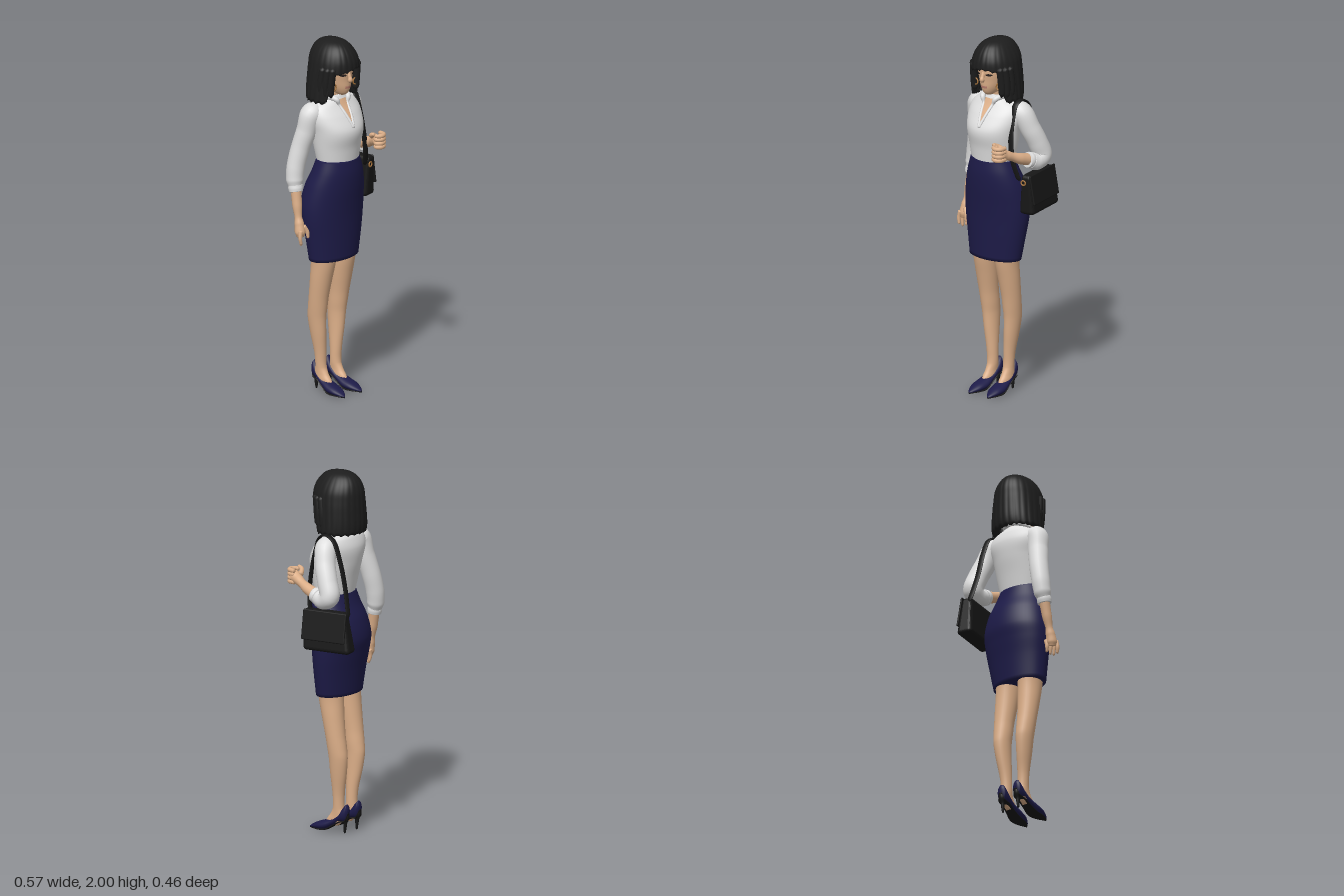
import * as THREE from 'three';
import { mergeVertices } from 'three/addons/utils/BufferGeometryUtils.js';
import { RoundedBoxGeometry } from 'three/addons/geometries/RoundedBoxGeometry.js';

const { lerp, smoothstep } = THREE.MathUtils;

// Smooth surface from a rule: fn(u, v) gives a point
function grid(nu, nv, fn) {
  const pos = [], idx = [];
  for (let j = 0; j <= nv; j++) for (let i = 0; i <= nu; i++) {
    pos.push(...fn(i / nu, j / nv));
    const a = j * (nu + 1) + i, b = a + nu + 1;
    if (i < nu && j < nv) idx.push(a, a + 1, b + 1, a, b + 1, b);
  }
  let g = new THREE.BufferGeometry();
  g.setAttribute('position', new THREE.Float32BufferAttribute(pos, 3));
  g.setIndex(idx);
  g = mergeVertices(g, 1e-4);
  g.computeVertexNormals();
  return g;
}

// Rows are [y, xMin, xMax, zBack, zFront]; smooth interpolation at height y
function rowAt(rows, y) {
  const n = rows.length - 1;
  let i = 0;
  while (i < n - 1 && y > rows[i + 1][0]) i++;
  const p = rows[i], q = rows[i + 1], h = q[0] - p[0];
  const t = Math.min(1, Math.max(0, (y - p[0]) / h));
  const slope = (k, c) => {
    const a = rows[Math.max(0, k - 1)], b = rows[Math.min(n, k + 1)];
    return (b[c] - a[c]) / (b[0] - a[0]) * h;
  };
  return [1, 2, 3, 4].map(c => {
    const t2 = t * t, t3 = t2 * t;
    return (2 * t3 - 3 * t2 + 1) * p[c] + (t3 - 2 * t2 + t) * slope(i, c)
      + (3 * t2 - 2 * t3) * q[c] + (t3 - t2) * slope(i + 1, c);
  });
}
function ringPoint(rows, y, a, k = 1) {
  const [x0, x1, z0, z1] = rowAt(rows, y);
  return [(x0 + x1) / 2 + k * (x1 - x0) / 2 * Math.sin(a), y, (z0 + z1) / 2 + k * (z1 - z0) / 2 * Math.cos(a)];
}
// Closed body through the rows
function loft(rows, seg = 40, per = 7) {
  const steps = (rows.length - 1) * per;
  return grid(seg, steps + 2, (u, v) => {
    const j = Math.round(v * (steps + 2)), s = Math.min(steps, Math.max(0, j - 1));
    const i = Math.min(rows.length - 2, Math.floor(s / per));
    const y = lerp(rows[i][0], rows[i + 1][0], s / per - i);
    return ringPoint(rows, y, u * Math.PI * 2, j === 0 || j === steps + 2 ? 0 : 1);
  });
}
function frontZ(rows, x, y) {
  const [x0, x1, z0, z1] = rowAt(rows, y);
  const s = (x - (x0 + x1) / 2) / ((x1 - x0) / 2);
  return (z0 + z1) / 2 + (z1 - z0) / 2 * Math.sqrt(Math.max(0, 1 - s * s));
}
// Thin painted patch lying on the front of a loft
const patch = (rows, y0, y1, xa, xb, off = 0.003) => grid(10, 16, (u, v) => {
  const y = lerp(y0, y1, v), x = lerp(xa(v), xb(v), u);
  return [x, y, frontZ(rows, x, y) + off];
});
// Limb along points [x, y, z, radius], optionally widened in x
function sweep(pts, wide = 1, seg = 16) {
  const curve = new THREE.CatmullRomCurve3(pts.map(p => new THREE.Vector3(p[0], p[1], p[2])));
  curve.getPointAt = curve.getPoint;
  curve.getTangentAt = curve.getTangent;
  const n = (pts.length - 1) * 8;
  const tube = new THREE.TubeGeometry(curve, n, 1, seg).attributes.position;
  return grid(seg, n, (u, v) => {
    const j = Math.round(v * n), c = curve.getPoint(v), f = v * (pts.length - 1);
    const i = Math.min(pts.length - 2, Math.floor(f));
    const r = j === 0 || j === n ? 0 : lerp(pts[i][3], pts[i + 1][3], smoothstep(f - i, 0, 1));
    const d = new THREE.Vector3().fromBufferAttribute(tube, j * (seg + 1) + seg - Math.round(u * seg)).sub(c).multiplyScalar(r);
    return [c.x + d.x * wide, c.y + d.y, c.z + d.z];
  });
}

export function createModel() {
  const model = new THREE.Group();
  const mat = (name, color, side = THREE.FrontSide) => Object.assign(new THREE.MeshStandardMaterial({ color, side }), { name });
  const M = {
    skin: mat('skin', 0xdbae88, THREE.DoubleSide), shirt: mat('white shirt', 0xdedede, THREE.DoubleSide),
    navy: mat('navy', 0x1d1b48, THREE.DoubleSide), hair: mat('dark hair', 0x1d1d1d, THREE.DoubleSide),
    black: mat('black leather', 0x171717, THREE.DoubleSide), gold: mat('bronze', 0xa8743c),
    lips: mat('lips', 0xbd8070), eyes: mat('eyes', 0x2a2220),
  };
  const add = (name, geo, m, parent = model) => {
    const mesh = new THREE.Mesh(geo, m);
    mesh.name = name;
    parent.add(mesh);
    return mesh;
  };

  // Skirt and blouse
  add('skirt', loft([[0.765, -.168, .157, -.085, .108], [0.9, -.186, .181, -.105, .115], [1.0, -.2, .195, -.125, .121],
    [1.08, -.201, .198, -.138, .129], [1.18, -.182, .184, -.12, .141], [1.26, -.156, .158, -.085, .145], [1.335, -.13, .128, -.06, .138]], 56), M.navy);
  const torso = [[1.31, -.125, .125, -.06, .136], [1.4, -.14, .14, -.08, .147], [1.5, -.154, .154, -.105, .164],
    [1.58, -.168, .168, -.115, .125], [1.635, -.15, .15, -.1, .085], [1.665, -.095, .095, -.08, .068], [1.685, -.06, .06, -.062, .058]];
  add('blouse', loft(torso, 56), M.shirt);
  add('neckOpening', patch(torso, 1.53, 1.668, v => -.034 * v, v => .034 * v), M.skin);
  add('neck', sweep([[0, 1.6, -.01, .05], [0, 1.68, -.005, .047], [0, 1.76, .01, .047]]), M.skin);
  for (const s of [1, -1]) {
    const edge = [1.52, 1.56, 1.6, 1.64].map(y => [s * (y - 1.52) * .26, y, frontZ(torso, s * (y - 1.52) * .26, y), .008]);
    add('collar', sweep([...edge, [s * .045, 1.672, .07, .015], [s * .068, 1.685, .01, .014], [s * .045, 1.695, -.052, .014], [0, 1.7, -.066, .014]]), M.shirt);
  }

  // Legs and court shoes, mirrored
  const legRows = [[0.04, .04, .08, -.03, .06], [0.07, .034, .088, -.06, .045], [0.1, .034, .088, -.072, .022], [0.14, .031, .089, -.062, .003],
    [0.22, .032, .095, -.066, .003], [0.33, .035, .112, -.086, .01], [0.42, .035, .124, -.096, .014], [0.48, .032, .13, -.09, .022],
    [0.55, .03, .135, -.08, .033], [0.65, .022, .14, -.07, .055], [0.75, .015, .142, -.065, .078], [0.85, .01, .15, -.07, .09]];
  // [z, half width, top y, bottom y]
  const shoe = [[-.092, .012, .145, .11], [-.08, .026, .162, .072], [-.04, .031, .115, .06], [0, .034, .082, .035],
    [.05, .042, .062, .008], [.1, .037, .045, .005], [.14, .018, .024, .005], [.156, .004, .012, .005]];
  for (const s of [1, -1]) {
    const leg = new THREE.Group();
    leg.name = s > 0 ? 'leftLeg' : 'rightLeg';
    leg.position.x = s > 0 ? -.008 : 0;
    model.add(leg);
    add('leg', loft(legRows.map(([y, a, b, c, d]) => s > 0 ? [y, a, b, c, d] : [y, -b, -a, c, d]), 28, 5), M.skin, leg);
    const foot = new THREE.Group();
    foot.name = 'shoe';
    foot.position.x = s * .06;
    foot.rotation.y = s * .06;
    leg.add(foot);
    add('upper', loft(shoe.map(([z, w, t, b]) => [z, -w, w, -t, -b]), 24, 5).rotateX(Math.PI / 2), M.navy, foot);
    add('sole', loft(shoe.map(([z, w, t, b]) => [z, -w * .85, w * .85, -b - .008, -b + .004]), 24, 5).rotateX(Math.PI / 2), M.black, foot);
    add('heel', sweep([[0, .125, -.075, .016], [0, .09, -.074, .019], [0, .05, -.07, .01], [0, 0, -.067, .006]], 1, 12), M.black, foot);
  }

  // Right arm, hanging
  add('rightSleeve', sweep([[-.115, 1.6, -.015, .055], [-.145, 1.595, -.018, .06], [-.167, 1.5, -.035, .055], [-.19, 1.4, -.058, .052],
    [-.212, 1.3, -.07, .05], [-.222, 1.23, -.068, .047], [-.226, 1.19, -.06, .037]], 1, 24), M.shirt);
  add('rightCuff', sweep([[-.225, 1.205, -.061, .038], [-.226, 1.185, -.058, .04], [-.227, 1.165, -.054, .038]], 1, 24), M.shirt);
  add('rightForearm', sweep([[-.224, 1.2, -.06, .03], [-.231, 1.1, -.042, .027], [-.236, 1.03, -.028, .02], [-.238, .99, -.018, .026],
    [-.24, .95, -.01, .029], [-.24, .92, -.008, .02]]), M.skin);
  for (let i = 0; i < 4; i++) {
    const x = -.262 + i * .013, z = .012 - i * .014, low = [.885, .872, .876, .89][i];
    add('rightFinger', sweep([[x + .008, .965, z - .002, .011], [x, .925, z, .0105], [x + .005, low, z + .004, .007]], 1, 10), M.skin);
  }
  add('rightThumb', sweep([[-.228, .985, 0, .013], [-.21, .95, .012, .012], [-.207, .91, .018, .008]], 1, 10), M.skin);

  // Left arm, bent forward with a closed hand
  add('leftSleeve', sweep([[.115, 1.6, -.015, .055], [.15, 1.595, -.02, .06], [.19, 1.51, -.045, .056], [.213, 1.43, -.078, .055],
    [.225, 1.355, -.1, .055], [.223, 1.33, -.058, .051], [.217, 1.345, -.008, .043]], 1, 24), M.shirt);
  add('leftCuff', sweep([[.219, 1.342, -.022, .042], [.217, 1.346, -.005, .044], [.215, 1.35, .012, .041]], 1, 24), M.shirt);
  add('leftForearm', sweep([[.217, 1.345, -.02, .034], [.207, 1.365, .05, .031], [.192, 1.388, .11, .024], [.18, 1.402, .145, .028],
    [.17, 1.412, .175, .033], [.162, 1.416, .2, .026]]), M.skin);
  for (let i = 0; i < 4; i++) {
    const y = 1.449 - i * .021;
    add('leftFinger', sweep([[.192, y, .16, .012], [.186, y, .2, .0125], [.158, y, .212, .012], [.136, y, .193, .011], [.148, y, .172, .009]], 1, 10), M.skin);
  }
  add('leftThumb', sweep([[.17, 1.425, .14, .015], [.132, 1.448, .16, .013], [.125, 1.462, .19, .009]], 1, 10), M.skin);

  // Head and face
  const head = [[1.695, -.02, .02, .05, .092], [1.71, -.038, .038, -.005, .107], [1.74, -.06, .06, -.06, .117], [1.78, -.076, .076, -.085, .12],
    [1.83, -.086, .086, -.095, .125], [1.9, -.085, .085, -.09, .118], [1.95, -.05, .05, -.06, .08]];
  add('head', loft(head, 40), M.skin);
  add('nose', sweep([[0, 1.83, .118, .008], [0, 1.805, .126, .01], [0, 1.787, .131, .013], [0, 1.775, .121, .009]], 1, 12), M.skin);
  add('mouth', patch(head, 1.737, 1.75, () => -.021, () => .021), M.lips);
  for (const s of [1, -1]) {
    const bow = v => Math.sqrt(Math.max(0, 1 - (2 * v - 1) ** 2)) * .016;
    add('eye', patch(head, 1.81, 1.823, v => s * .036 - bow(v), v => s * .036 + bow(v)), M.eyes);
    add('ear', new THREE.SphereGeometry(1, 12, 10).scale(.012, .028, .018).translate(s * .083, 1.8, .02), M.skin);
    const hoop = add('earring', new THREE.TorusGeometry(.018, .004, 8, 20), M.gold);
    hoop.position.set(s * .083, 1.752, .088);
  }

  // Hair: shell with fringe, face opening and ragged tips
  const hair = [[1.645, -.146, .138, -.125, .12], [1.7, -.144, .138, -.138, .13], [1.8, -.134, .133, -.138, .145], [1.85, -.128, .128, -.136, .152],
    [1.9, -.118, .118, -.132, .146], [1.95, -.093, .09, -.112, .12], [1.985, -.054, .052, -.07, .074], [2, -.002, .002, -.002, .002]];
  add('hair', grid(144, 30, (u, v) => {
    const a = (u - .5) * Math.PI * 2, deg = Math.abs(a) * 180 / Math.PI;
    const tips = .01 * Math.abs(Math.sin(a * 11));
    const low = lerp(1.832 + .012 * Math.cos(a * 3 - .6), 1.657, smoothstep(deg, 46, 58)) + tips;
    if (v === 0) return ringPoint(hair, low + .015, a, .72);
    const t = (v * 30 - 1) / 29;
    const ripple = 1 + .022 * Math.abs(Math.sin(a * 12)) * (1 - t);
    return ringPoint(hair, low + (2 - low) * Math.sin(t * Math.PI / 2), a, ripple);
  }), M.hair);
  for (const s of [1, -1]) for (const [x, z, low] of [[.096, .082, 1.69], [.112, .06, 1.665], [.12, .03, 1.66]])
    add('sideLock', sweep([[s * (x - .004), 1.87, z + .012, .02], [s * x, 1.78, z, .021], [s * x, 1.72, z - .004, .019], [s * (x - .006), low, z - .006, .004]], 1, 10), M.hair);

  // Shoulder bag, flap and strap
  const bag = new THREE.Group();
  bag.name = 'shoulderBag';
  bag.position.set(.217, 1.163, -.08);
  bag.rotation.y = .17;
  model.add(bag);
  const taper = (geo, h) => {
    const p = geo.attributes.position;
    for (let i = 0; i < p.count; i++) {
      const y = p.getY(i);
      p.setX(i, p.getX(i) * (.8 - .4 * y / h));
      p.setZ(i, p.getZ(i) * (1 - .12 * y / h) + .1 * y);
    }
    geo.computeVertexNormals();
    return geo;
  };
  add('bagBody', taper(new RoundedBoxGeometry(.092, .225, .268, 4, .022), .225), M.black, bag);
  const flap = add('bagFlap', new RoundedBoxGeometry(.012, .165, .262, 3, .006), M.black, bag);
  flap.position.set(.037, .03, .002);
  flap.rotation.z = .17;
  const ring = add('bagRing', new THREE.TorusGeometry(.013, .004, 8, 18), M.gold, bag);
  ring.position.set(-.012, .07, .138);
  add('strap', sweep([[.195, 1.235, .052, .006], [.172, 1.34, .076, .006], [.155, 1.46, .075, .006], [.148, 1.58, .052, .006], [.147, 1.65, .025, .006],
    [.147, 1.667, -.015, .006], [.147, 1.645, -.065, .006], [.15, 1.55, -.11, .006], [.155, 1.4, -.152, .006], [.18, 1.24, -.195, .006]], 3, 12), M.black);

  return model;
}
